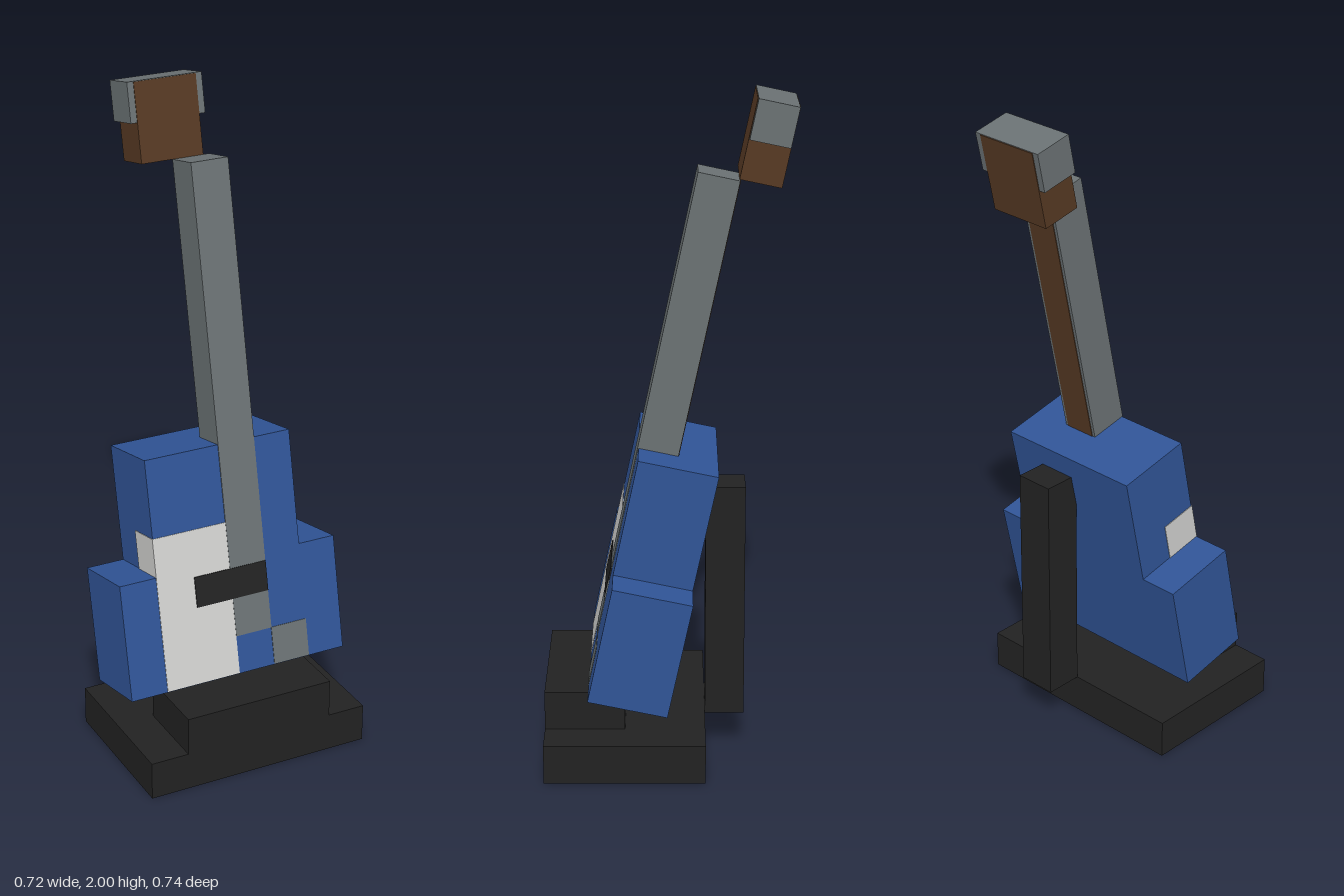
import * as THREE from 'three';

export function createModel() {
  const mat = (name, color) => {
    const m = new THREE.MeshStandardMaterial({ color });
    m.name = name;
    return m;
  };
  const blue = mat('body blue', 0x305496);
  const grey = mat('metal grey', 0x6a7173);
  const brown = mat('wood brown', 0x563923);
  const white = mat('guard white', 0xd0d0ce);
  const black = mat('stand black', 0x222222);

  // Box given by its lower and upper corners
  const block = (parent, name, material, [x0, y0, z0], [x1, y1, z1]) => {
    const mesh = new THREE.Mesh(new THREE.BoxGeometry(x1 - x0, y1 - y0, z1 - z0), material);
    mesh.position.set((x0 + x1) / 2, (y0 + y1) / 2, (z0 + z1) / 2);
    mesh.name = name;
    parent.add(mesh);
  };

  const model = new THREE.Group();
  model.name = 'guitarOnStand';

  // Stand: base, front ledge and rear post
  const stand = new THREE.Group();
  stand.name = 'stand';
  block(stand, 'standBase', black, [-0.36, 0, -0.11], [0.36, 0.12, 0.37]);
  block(stand, 'standLedge', black, [-0.24, 0.12, 0.13], [0.24, 0.24, 0.37]);
  block(stand, 'standPost', black, [0, 0.12, -0.228], [0.12, 0.845, -0.11]);
  model.add(stand);

  // Guitar leans back; its origin is the lower front edge of the body
  const guitar = new THREE.Group();
  guitar.name = 'guitar';
  guitar.position.set(0, 0.262, 0.238);
  guitar.rotation.x = -THREE.MathUtils.degToRad(12);
  model.add(guitar);

  block(guitar, 'lowerBody', blue, [-0.36, 0, -0.24], [0.36, 0.36, 0]);
  block(guitar, 'upperBody', blue, [-0.24, 0.36, -0.24], [0.24, 0.72, 0]);

  // Face details, each standing slightly proud of the body
  block(guitar, 'pickguard', white, [-0.242, 0.002, -0.12], [0, 0.48, 0.002]);
  block(guitar, 'bridge', grey, [0.12, 0.002, -0.12], [0.24, 0.12, 0.002]);
  block(guitar, 'pickup', black, [-0.12, 0.24, -0.05], [0.12, 0.335, 0.005]);

  // Neck with a wooden back
  block(guitar, 'neck', grey, [0, 0.12, -0.12], [0.12, 1.56, 0.003]);
  block(guitar, 'neckBack', brown, [0.01, 0.72, -0.122], [0.11, 1.558, -0.1]);

  // Headstock with the tuner block around its upper half
  block(guitar, 'headstock', brown, [-0.1, 1.56, -0.242], [0.1, 1.798, -0.118]);
  block(guitar, 'tuners', grey, [-0.12, 1.68, -0.24], [0.12, 1.8, -0.12]);

  return model;
}
